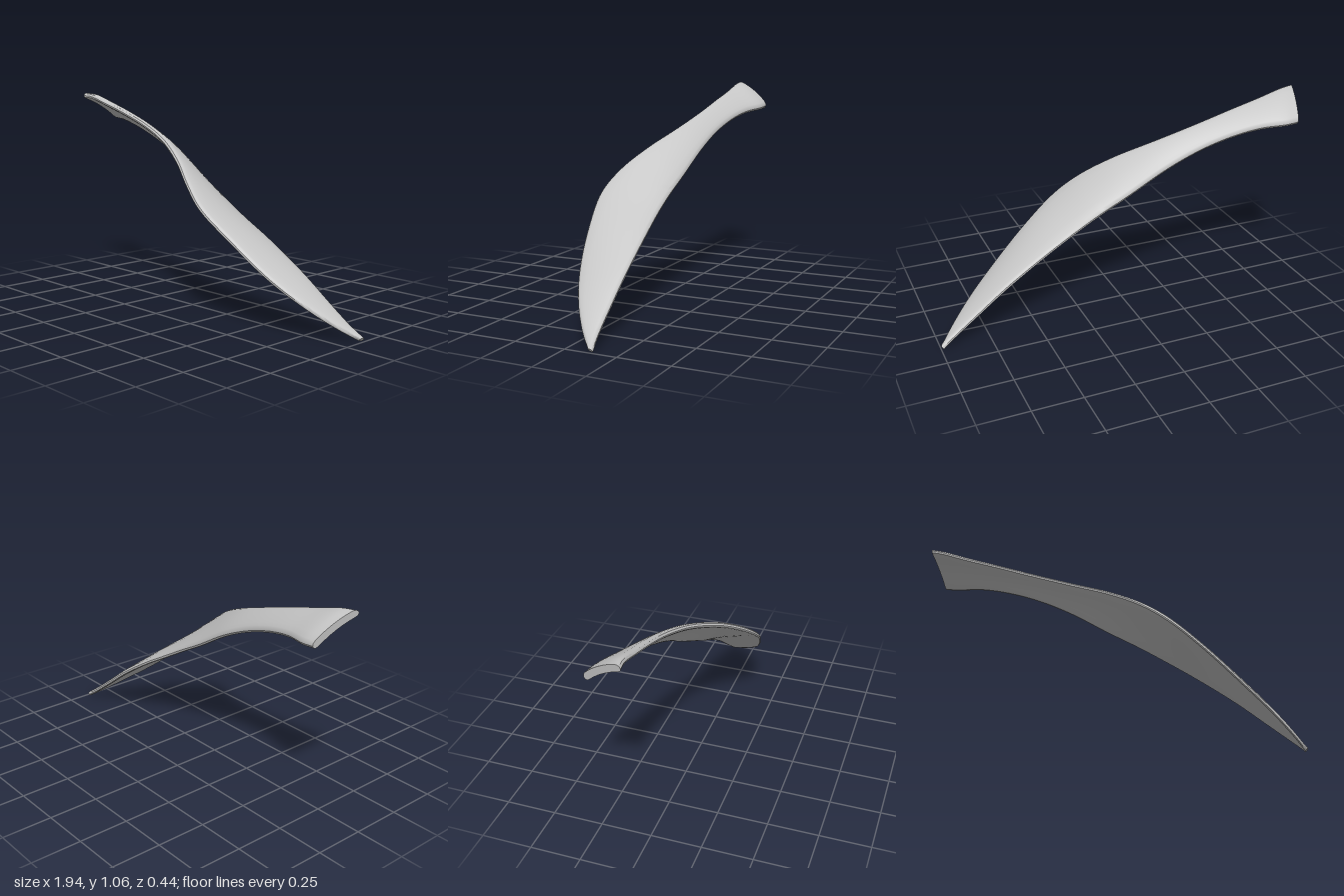
import * as THREE from 'three';
import { toCreasedNormals } from 'three/addons/utils/BufferGeometryUtils.js';

const V = (p) => new THREE.Vector3(...p);

// Matching stations along the high front edge and the low back edge
const FRONT = [
  [-0.94, 1.063, -0.025], [-0.88, 1.058, -0.034], [-0.75, 1.023, -0.035], [-0.6, 0.983, -0.03],
  [-0.4, 0.923, -0.015], [-0.2, 0.853, 0.025], [0, 0.763, 0.105], [0.15, 0.668, 0.178],
  [0.28, 0.568, 0.215], [0.45, 0.435, 0.188], [0.65, 0.27, 0.125], [0.8, 0.157, 0.047],
  [0.92, 0.067, -0.043], [0.985, 0.018, -0.108],
].map(V);
const BACK = [
  [-0.875, 0.935, -0.218], [-0.81, 0.928, -0.212], [-0.69, 0.915, -0.175], [-0.55, 0.885, -0.147],
  [-0.38, 0.83, -0.125], [-0.2, 0.75, -0.112], [0, 0.635, -0.098], [0.15, 0.555, -0.09],
  [0.28, 0.483, -0.09], [0.45, 0.388, -0.1], [0.65, 0.262, -0.108], [0.8, 0.152, -0.113],
  [0.92, 0.065, -0.12], [0.992, 0.018, -0.132],
].map(V);

// Rounded plate profile: u across the width, v across the thickness (-1 to 1),
// with the rim inset as a fraction of the thickness
function ringProfile(width, thick) {
  const r = Math.min(thick * 0.6 / width, 0.3);
  const top = [[0, 0.35], [r * 0.35, 0.8], [r, 1]];
  for (let k = 1; k < 6; k++) top.push([r + (1 - 2 * r) * k / 6, 1]);
  top.push([1 - r, 1], [1 - r * 0.35, 0.8], [1, 0.35]);
  return [...top, ...top.map(([u, v]) => [u, -v]).reverse()];
}

function bladeGeometry(steps) {
  const front = new THREE.CatmullRomCurve3(FRONT);
  const back = new THREE.CatmullRomCurve3(BACK);
  const positions = [], index = [];
  let n = 0;

  // Sweep the profile between the two edges
  for (let i = 0; i <= steps; i++) {
    const t = i / steps;
    const f = front.getPoint(t), b = back.getPoint(t);
    const across = b.clone().sub(f);
    const along = front.getTangent(t).add(back.getTangent(t));
    const up = along.cross(across).normalize();
    const thick = THREE.MathUtils.lerp(0.036, 0.022, t);
    const bow = 0.06 * across.length();
    const ring = ringProfile(across.length(), thick);
    n = ring.length;
    for (const [u, v] of ring) {
      const lift = v * thick / 2 + bow * 4 * u * (1 - u);
      const p = f.clone().addScaledVector(across, u).addScaledVector(up, lift);
      positions.push(p.x, Math.max(p.y, 0), p.z);
    }
  }
  for (let i = 0; i < steps; i++) {
    for (let j = 0; j < n; j++) {
      const a = i * n + j, c = i * n + (j + 1) % n;
      index.push(a, a + n, c, c, a + n, c + n);
    }
  }

  // Close both ends with strips between the upper and lower faces
  const e = steps * n;
  for (let j = 0; j < n / 2 - 1; j++) {
    const k = j + 1, lj = n - 1 - j, lk = n - 1 - k;
    index.push(j, k, lj, k, lk, lj);
    index.push(e + j, e + lj, e + k, e + k, e + lj, e + lk);
  }

  const geometry = new THREE.BufferGeometry();
  geometry.setAttribute('position', new THREE.Float32BufferAttribute(positions, 3));
  geometry.setIndex(index);
  return toCreasedNormals(geometry, 0.6);
}

export function createModel() {
  const group = new THREE.Group();
  group.name = 'twistedBlade';
  const grey = new THREE.MeshStandardMaterial({ color: 0xc6c6c6 });
  grey.name = 'light grey';
  const blade = new THREE.Mesh(bladeGeometry(78), grey);
  blade.name = 'blade';
  group.add(blade);
  return group;
}
